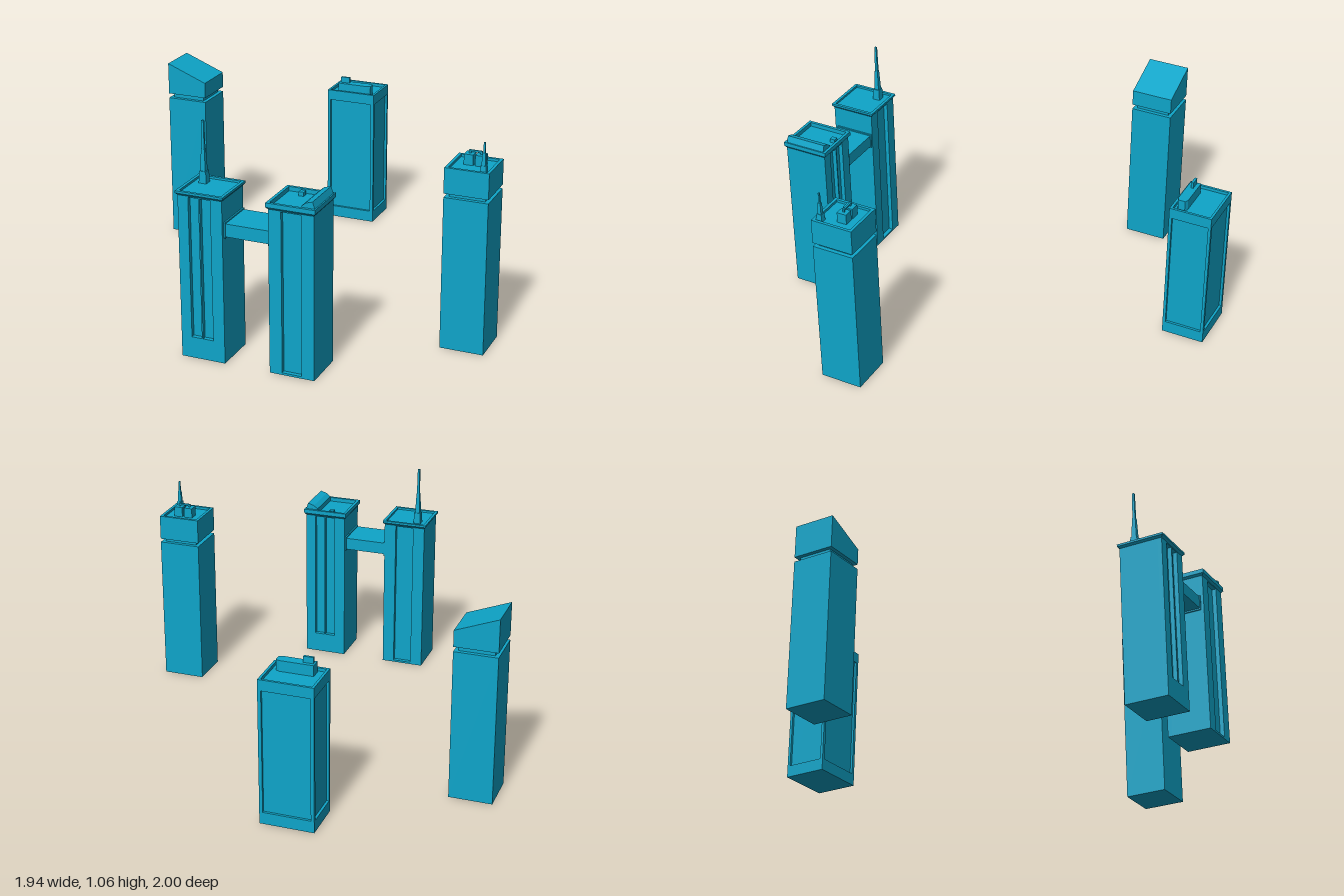
import * as THREE from 'three';

const material = new THREE.MeshStandardMaterial({ color: 0x0ea5c9, flatShading: true });

function add(group, name, geometry) {
  const mesh = new THREE.Mesh(geometry, material);
  mesh.name = name;
  group.add(mesh);
  return mesh;
}

// Box from its lower and upper limits on each axis
function box(group, name, x0, x1, y0, y1, z0, z1) {
  const mesh = add(group, name, new THREE.BoxGeometry(x1 - x0, y1 - y0, z1 - z0));
  mesh.position.set((x0 + x1) / 2, (y0 + y1) / 2, (z0 + z1) / 2);
  return mesh;
}

function polygon(points) {
  return points.map(([x, y]) => new THREE.Vector2(x, y));
}

const rect = (x0, x1, y0, y1) => polygon([[x0, y0], [x1, y0], [x1, y1], [x0, y1]]);

// Flat plate in the xy plane, thickness along +z, with rectangular openings
function plate(outline, depth, holes = []) {
  const shape = new THREE.Shape(outline);
  holes.forEach(h => shape.holes.push(new THREE.Path(rect(...h))));
  return new THREE.ExtrudeGeometry(shape, { depth, bevelEnabled: false });
}

// Raised rim around a flat roof
function parapet(group, w, d, y0, y1, rim) {
  const a = w / 2, b = d / 2;
  const geometry = plate(rect(-a, a, -b, b), y1 - y0, [[-a + rim, a - rim, -b + rim, b - rim]]);
  geometry.rotateX(-Math.PI / 2);
  add(group, 'parapet', geometry).position.y = y0;
}

// Four-sided frustum
function frustum(group, name, w0, d0, w1, d1, y0, y1) {
  const geometry = new THREE.BoxGeometry(1, y1 - y0, 1);
  const p = geometry.attributes.position;
  for (let i = 0; i < p.count; i++) {
    const top = p.getY(i) > 0;
    p.setX(i, p.getX(i) * (top ? w1 : w0));
    p.setZ(i, p.getZ(i) * (top ? d1 : d0));
  }
  geometry.computeVertexNormals();
  const mesh = add(group, name, geometry);
  mesh.position.y = (y0 + y1) / 2;
  return mesh;
}

// Stepped mast: each step is [bottom width, top width, y0, y1]
function mast(group, x, z, steps) {
  const g = new THREE.Group();
  g.name = 'antenna';
  g.position.set(x, 0, z);
  steps.forEach(([w0, w1, y0, y1]) => frustum(g, 'mastSection', w0, w0, w1, w1, y0, y1));
  group.add(g);
}

function building(parent, name, x, z) {
  const g = new THREE.Group();
  g.name = name;
  g.position.set(x, 0, z);
  parent.add(g);
  return g;
}

// Square shaft with a narrow neck below the cap
function neckedShaft(g, capBase) {
  box(g, 'shaft', -0.102, 0.102, 0, 0.722, -0.102, 0.102);
  box(g, 'neck', -0.083, 0.083, 0.722, capBase, -0.083, 0.083);
}

// Twin tower: two grooves on one face, one wide recess on the opposite face
function twinTower(g, top, turned) {
  const w = 0.21, d = 0.21, t = 0.02, h = 0.765;
  const body = new THREE.Group();
  body.name = 'body';
  box(body, 'core', -w / 2, w / 2, 0, h, -d / 2 + t, d / 2 - t);
  const outline = rect(-w / 2, w / 2, 0, h);
  const grooves = [[-0.055, -0.006, 0.1, 0.76], [0.0, 0.05, 0.1, 0.76]];
  add(body, 'groovedWall', plate(outline, t, grooves)).position.z = d / 2 - t;
  add(body, 'recessedWall', plate(outline, t, [[-0.046, 0.046, 0.01, 0.76]])).position.z = -d / 2;
  if (turned) body.rotation.y = Math.PI;
  g.add(body);
  frustum(g, 'cornice', w, d, 0.226, 0.228, h, 0.775);
  parapet(g, 0.226, 0.228, 0.775, top, 0.014);
}

export function createModel() {
  const model = new THREE.Group();
  model.name = 'skyscrapers';

  // Tower with a sloping top
  const slant = building(model, 'slantedTower', -0.873, -0.397);
  neckedShaft(slant, 0.745);
  const wedge = polygon([[-0.102, 0.745], [0.102, 0.745], [0.102, 0.823], [-0.102, 0.903]]);
  add(slant, 'slopingCap', plate(wedge, 0.204)).position.z = -0.102;

  // Tower with roof machinery
  const plant = building(model, 'machineryTower', 0.867, 0.37);
  neckedShaft(plant, 0.74);
  box(plant, 'cap', -0.102, 0.102, 0.74, 0.848, -0.102, 0.102);
  parapet(plant, 0.204, 0.204, 0.848, 0.86, 0.014);
  for (const s of [-1, 1]) {
    const x = s * 0.026;
    box(plant, 'roofUnit', x - 0.021, x + 0.021, 0.848, 0.897, -0.045, 0.002);
    box(plant, 'pipeRiser', x - 0.004, x + 0.004, 0.897, 0.912, -0.026, -0.018);
  }
  box(plant, 'roofPipe', -0.03, 0.03, 0.904, 0.912, -0.026, -0.018);
  mast(plant, 0.068, 0.073, [[0.03, 0.024, 0.848, 0.885], [0.019, 0.013, 0.885, 0.94], [0.009, 0.007, 0.94, 0.99]]);

  // Twin towers joined by a bridge
  const left = building(model, 'antennaTwinTower', -0.153, 0.885);
  twinTower(left, 0.785, false);
  mast(left, -0.054, -0.05, [[0.036, 0.032, 0.775, 0.83], [0.024, 0.016, 0.83, 0.93], [0.013, 0.01, 0.93, 1.06]]);

  const right = building(model, 'wedgeTwinTower', 0.273, 0.885);
  twinTower(right, 0.795, true);
  const ramp = polygon([[0.045, 0.775], [0.104, 0.775], [0.107, 0.795], [0.097, 0.826], [0.065, 0.816], [0.045, 0.8]]);
  add(right, 'roofWedge', plate(ramp, 0.2)).position.z = -0.1;
  box(right, 'roofVent', -0.037, -0.014, 0.775, 0.794, -0.088, -0.062);

  const bridge = building(model, 'skyBridge', 0, 0.88);
  box(bridge, 'bridgeDeck', -0.05, 0.17, 0.597, 0.657, -0.092, 0.092);
  for (const x of [-0.046, 0.166]) box(bridge, 'bridgeCollar', x - 0.005, x + 0.005, 0.59, 0.663, -0.096, 0.096);

  // Tower with framed panels on all four sides
  const panel = building(model, 'panelTower', -0.183, -0.897);
  const w = 0.256, d = 0.206, t = 0.012;
  box(panel, 'core', -w / 2 + t, w / 2 - t, 0, 0.685, -d / 2 + t, d / 2 - t);
  for (let i = 0; i < 4; i++) {
    const width = i % 2 ? d : w - 2 * t, depth = i % 2 ? w : d;
    const margin = i % 2 ? 0.014 : 0.004;
    const a = width / 2;
    const frame = plate(rect(-a, a, 0, 0.7), t, [[-a + margin, a - margin, 0.057, 0.648]]);
    frame.translate(0, 0, depth / 2 - t);
    add(panel, 'framedWall', frame).rotation.y = i * Math.PI / 2;
  }
  const house = polygon([[-0.078, -0.081], [0.08, -0.081], [0.097, -0.074], [0.097, -0.04], [0.08, -0.032], [-0.078, -0.032]]);
  const houseGeometry = plate(house, 0.052);
  houseGeometry.rotateX(-Math.PI / 2);
  add(panel, 'roofHouse', houseGeometry).position.y = 0.684;
  box(panel, 'roofVent', -0.07, -0.024, 0.736, 0.765, 0.05, 0.062);

  return model;
}
